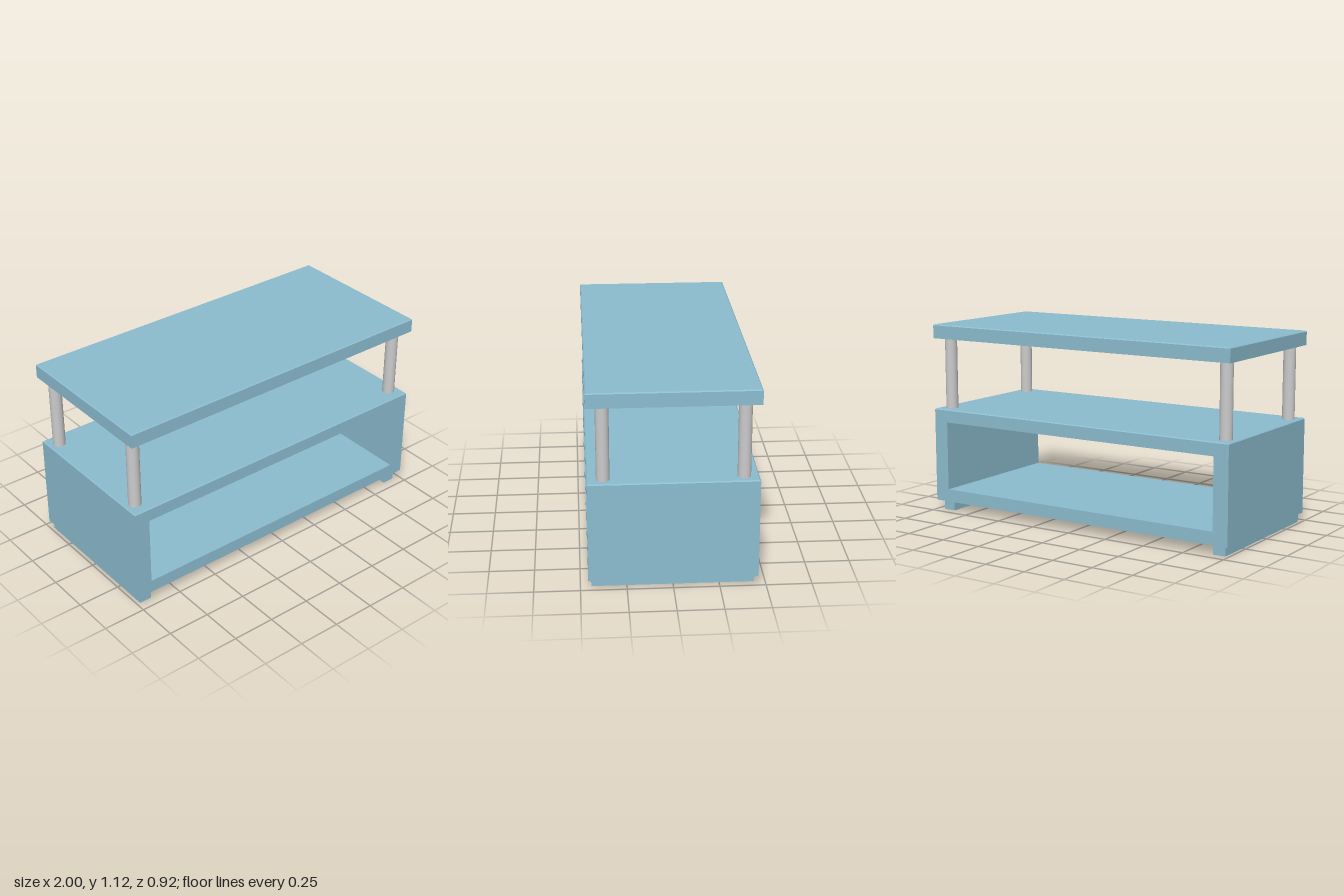
import * as THREE from 'three';

const WIDTH = 2, DEPTH = 0.915, BEVEL = 0.006;
const blue = new THREE.MeshStandardMaterial({ color: 0x8cbccf });
const grey = new THREE.MeshStandardMaterial({ color: 0xcccccc });

function addMesh(parent, name, geometry, material, x = 0, y = 0, z = 0) {
  const mesh = new THREE.Mesh(geometry, material);
  mesh.name = name;
  mesh.position.set(x, y, z);
  parent.add(mesh);
  return mesh;
}

// Board standing on y = 0 whose upper edges are slightly chamfered
function chamferedBoard(height) {
  const geometry = new THREE.BoxGeometry(WIDTH, height, DEPTH, 1, 2, 1).toNonIndexed();
  const p = geometry.attributes.position;
  for (let i = 0; i < p.count; i++) {
    const y = p.getY(i);
    if (y > height * 0.4) {
      p.setX(i, p.getX(i) - Math.sign(p.getX(i)) * BEVEL);
      p.setZ(i, p.getZ(i) - Math.sign(p.getZ(i)) * BEVEL);
    }
    const level = y > height * 0.4 ? height : y < -height * 0.4 ? 0 : height - BEVEL;
    p.setY(i, level);
  }
  geometry.computeVertexNormals();
  return geometry;
}

function rectangle(path, x, y0, y1) {
  path.moveTo(-x, y0);
  path.lineTo(x, y0);
  path.lineTo(x, y1);
  path.lineTo(-x, y1);
  path.closePath();
  return path;
}

export function createModel() {
  const stand = new THREE.Group();
  stand.name = 'mediaStand';

  // Lower cabinet: floor and sides of an open frame, closed by a chamfered top board
  const cabinet = new THREE.Group();
  cabinet.name = 'cabinet';
  stand.add(cabinet);
  const outline = rectangle(new THREE.Shape(), WIDTH / 2, 0.055, 0.6);
  outline.holes.push(rectangle(new THREE.Path(), 0.909, 0.13, 0.54));
  const frame = new THREE.ExtrudeGeometry(outline, { depth: DEPTH, bevelEnabled: false });
  addMesh(cabinet, 'cabinetFrame', frame, blue, 0, 0, -DEPTH / 2);
  addMesh(cabinet, 'cabinetTop', chamferedBoard(0.018), blue, 0, 0.6, 0);

  // Raised shelf
  addMesh(stand, 'upperShelf', chamferedBoard(0.083), blue, 0, 1.041, 0);

  // Round posts at the four corners
  const post = new THREE.CylinderGeometry(0.036, 0.036, 0.423, 32, 1);
  for (const x of [-0.938, 0.933]) {
    for (const z of [-0.376, 0.37]) addMesh(stand, 'post', post, grey, x, 0.8295, z);
  }

  // Runner feet under both ends
  const foot = new THREE.BoxGeometry(0.075, 0.055, 0.882);
  addMesh(stand, 'rightFoot', foot, blue, -0.942, 0.0275, 0);
  addMesh(stand, 'leftFoot', foot, blue, 0.916, 0.0275, 0);

  return stand;
}
